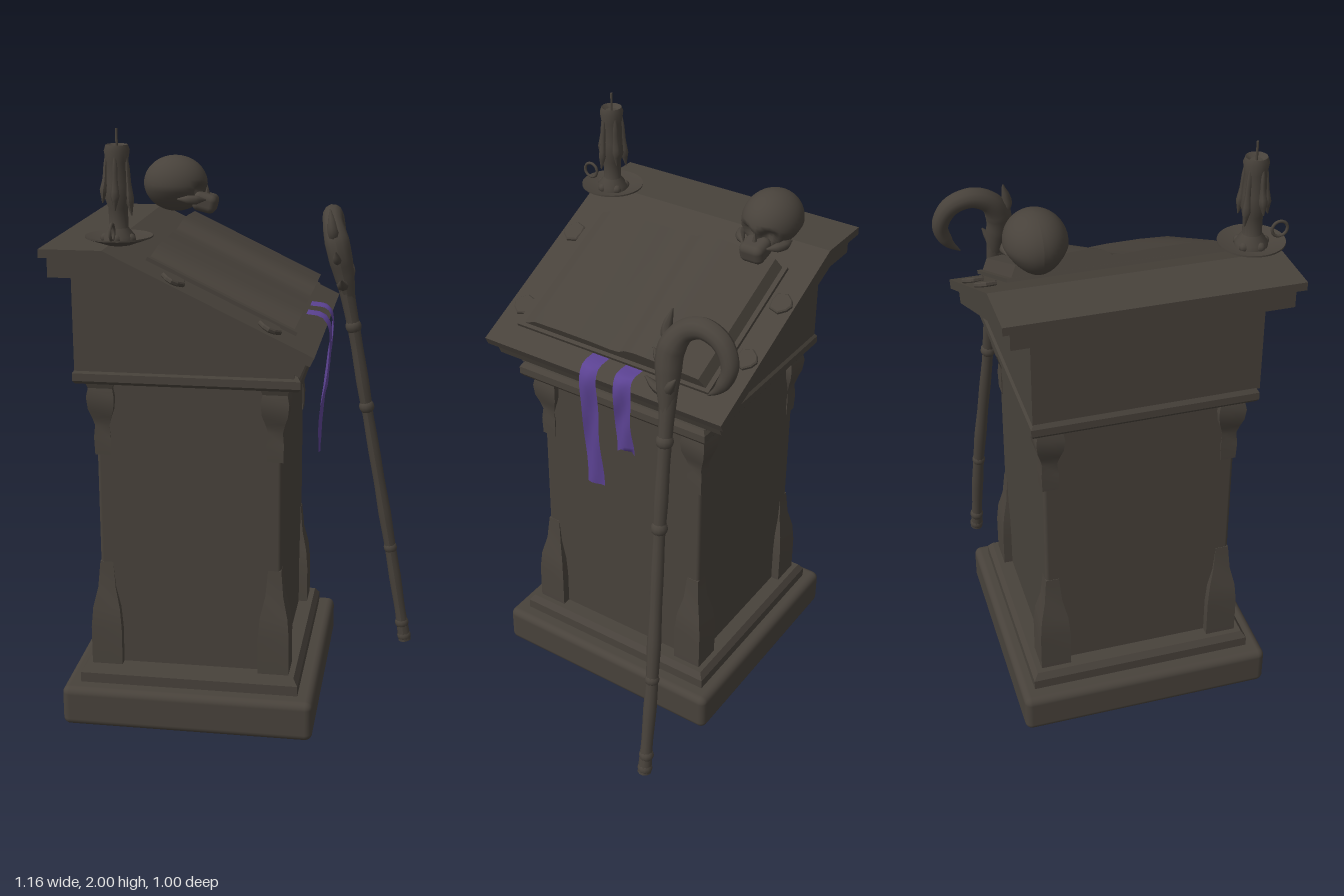
import * as THREE from 'three';
import { toCreasedNormals } from 'three/addons/utils/BufferGeometryUtils.js';
import { RoundedBoxGeometry } from 'three/addons/geometries/RoundedBoxGeometry.js';

const V = (x, y, z) => new THREE.Vector3(x, y, z);

export function createModel() {
  const root = new THREE.Group();
  root.name = 'lectern';
  const stone = new THREE.MeshStandardMaterial({ color: 0x48423b });
  stone.name = 'dark umber';
  const cloth = new THREE.MeshStandardMaterial({ color: 0x5b4292, side: THREE.DoubleSide });
  cloth.name = 'purple cloth';

  function add(name, geo, pos = [0, 0, 0], parent = root, mat = stone) {
    const mesh = new THREE.Mesh(geo, mat);
    mesh.name = name;
    mesh.position.set(...pos);
    parent.add(mesh);
    return mesh;
  }
  // Square moulding: rows of [half width, y], stretched to the given depth ratio
  function moulding(rows, sx = 1, sz = 1) {
    const pts = rows.map(([h, y]) => new THREE.Vector2(h * Math.SQRT2, y));
    const geo = new THREE.LatheGeometry(pts, 4, Math.PI / 4);
    geo.scale(sx, 1, sz);
    return toCreasedNormals(geo, 0.5);
  }
  // Side profile in x and y, extruded from z0 to z1
  function slab(points, z0, z1) {
    const shape = new THREE.Shape(points.map(p => new THREE.Vector2(...p)));
    const geo = new THREE.ExtrudeGeometry(shape, { depth: z1 - z0, bevelEnabled: false });
    return geo.translate(0, 0, z0);
  }
  // Tube whose radius follows a list of values along the path
  function taperTube(points, radii, seg = 40, sides = 10) {
    const curve = new THREE.CatmullRomCurve3(points);
    const geo = new THREE.TubeGeometry(curve, seg, 1, sides);
    const p = geo.attributes.position;
    const v = V(0, 0, 0);
    for (let i = 0; i <= seg; i++) {
      const c = curve.getPointAt(i / seg);
      const f = (i / seg) * (radii.length - 1);
      const k = Math.min(Math.floor(f), radii.length - 2);
      const r = THREE.MathUtils.lerp(radii[k], radii[k + 1], f - k);
      for (let j = 0; j <= sides; j++) {
        const n = i * (sides + 1) + j;
        v.fromBufferAttribute(p, n).sub(c).multiplyScalar(r).add(c);
        p.setXYZ(n, v.x, v.y, v.z);
      }
    }
    geo.computeVertexNormals();
    return geo;
  }

  // Pedestal
  const cx = -0.147;
  add('plinth', new RoundedBoxGeometry(0.85, 0.14, 0.87, 3, 0.025), [cx, 0.07, 0.005]);
  add('plinthStep', moulding([[0, 0.13], [0.37, 0.13], [0.37, 0.175], [0.355, 0.197], [0, 0.197]], 1, 1.04), [cx, 0, 0]);
  add('shaft', new RoundedBoxGeometry(0.61, 1.02, 0.64, 2, 0.012), [cx, 0.69, 0]);
  add('shaftBand', new THREE.BoxGeometry(0.614, 0.25, 0.644), [cx, 1.065, 0]);
  add('cornice', moulding([[0, 1.19], [0.36, 1.19], [0.367, 1.2], [0.367, 1.225], [0.357, 1.24], [0, 1.24]]), [cx, 0, 0]);

  // Carved feet and brackets on the four corners
  const foot = moulding([[0, 0.19], [0.052, 0.19], [0.052, 0.33], [0.046, 0.4], [0.03, 0.47], [0.022, 0.56], [0, 0.57]]);
  const bracket = moulding([[0, 0.94], [0.026, 0.94], [0.028, 1.0], [0.024, 1.04], [0.032, 1.07],
    [0.042, 1.1], [0.046, 1.14], [0.04, 1.17], [0.048, 1.195], [0, 1.195]]);
  for (const sx of [-1, 1]) for (const sz of [-1, 1]) {
    add('cornerFoot', foot, [cx + sx * 0.284, 0, sz * 0.298]);
    add('cornerBracket', bracket, [cx + sx * 0.284, 0, sz * 0.298]);
  }

  // Sloping desk
  add('deskBox', slab([[-0.505, 1.235], [0.2, 1.235], [0.2, 1.3], [-0.4, 1.58], [-0.505, 1.58]], -0.36, 0.37));
  add('deskTrim', slab([[-0.56, 1.55], [-0.44, 1.55], [0.225, 1.26], [0.25, 1.32], [-0.39, 1.622], [-0.56, 1.622]], -0.43, 0.44));
  add('deskTop', slab([[-0.58, 1.615], [-0.39, 1.615], [0.258, 1.302], [0.272, 1.33], [-0.38, 1.642], [-0.58, 1.642]], -0.455, 0.465));

  // Everything lying on the slope: x runs down it, y stands off it
  const slope = new THREE.Group();
  slope.name = 'slopeItems';
  slope.position.set(-0.38, 1.642, 0);
  slope.rotation.z = -Math.atan2(0.312, 0.652);
  root.add(slope);
  add('bookCover', new THREE.BoxGeometry(0.52, 0.012, 0.745), [0.383, 0.018, 0.003], slope);
  const pageLine = [[0.36, 0.02], [0.33, 0.034], [0.3, 0.05], [0.2, 0.054], [0.08, 0.053], [0, 0.048], [-0.035, 0.052],
    [-0.06, 0.07], [-0.1, 0.078], [-0.17, 0.075], [-0.26, 0.067], [-0.335, 0.06], [-0.355, 0.02]];
  const pages = new THREE.ExtrudeGeometry(
    new THREE.Shape(pageLine.map(([z, y]) => new THREE.Vector2(-z, y))), { depth: 0.5, bevelEnabled: false });
  pages.rotateY(Math.PI / 2);
  add('bookPages', toCreasedNormals(pages, 0.6), [0.13, 0, 0], slope);

  // Shield studs beside the book
  const stud = new THREE.Shape([[-0.035, 0.005], [-0.018, 0.026], [0, 0.034], [0.018, 0.026], [0.035, 0.005],
    [0.026, -0.026], [0, -0.03], [-0.026, -0.026]].map(p => new THREE.Vector2(...p)));
  const studGeo = new THREE.ExtrudeGeometry(stud, { depth: 0.008, bevelSize: 0.004, bevelThickness: 0.004, bevelSegments: 1 });
  studGeo.rotateX(-Math.PI / 2);
  for (const [s, z] of [[0.25, -0.412], [0.48, -0.412], [0.23, 0.415], [0.56, 0.405]]) {
    add('shieldStud', studGeo, [s, 0.004, z], slope).rotation.y = z < 0 ? 0 : Math.PI;
  }

  // Ribbon bookmarks: a strip folded over the lower edge, optionally forked
  function ribbon(z, width, path, fork) {
    const curve = new THREE.CatmullRomCurve3(path.map(([x, y]) => V(x, y, 0)));
    const geo = new THREE.PlaneGeometry(1, 1, 4, 24);
    const p = geo.attributes.position;
    for (let i = 0; i < p.count; i++) {
      const u = p.getX(i), t = 0.5 - p.getY(i);
      const c = curve.getPointAt(t);
      const notch = t === 1 ? fork * (1 - 2 * Math.abs(u)) : 0;
      p.setXYZ(i, c.x + 0.005 * Math.sin(u * 5 + t * 9), c.y + notch, z - u * width + 0.003 * Math.sin(t * 11));
    }
    geo.computeVertexNormals();
    add('ribbon', geo, [0, 0, 0], root, cloth);
  }
  ribbon(0.037, 0.064, [[0.2, 1.375], [0.262, 1.365], [0.283, 1.33], [0.275, 1.2], [0.258, 1.03], [0.252, 0.895]], 0);
  ribbon(-0.092, 0.064, [[0.2, 1.375], [0.265, 1.365], [0.28, 1.33], [0.27, 1.2], [0.262, 1.075]], 0.045);

  // Skull facing down the slope
  const skull = new THREE.Group();
  skull.name = 'skull';
  skull.position.set(-0.295, 1.745, -0.286);
  root.add(skull);
  const head = new THREE.SphereGeometry(1, 40, 28);
  const hp = head.attributes.position;
  const sockets = [V(0.88, -0.25, 0.4), V(0.88, -0.25, -0.4)].map(v => v.normalize());
  const v = V(0, 0, 0);
  for (let i = 0; i < hp.count; i++) {
    v.fromBufferAttribute(hp, i);
    const near = Math.min(...sockets.map(s => s.distanceTo(v)));
    const k = 1 - 0.3 * Math.max(0, 1 - (near / 0.36) ** 2);
    const pinch = v.y < -0.1 ? 1 + 0.3 * (v.y + 0.1) : 1;
    hp.setXYZ(i, v.x * 0.112 * k, v.y * 0.097 * k, v.z * 0.097 * k * pinch);
  }
  head.computeVertexNormals();
  add('cranium', head, [0, 0, 0], skull);
  const jaw = add('upperJaw', new RoundedBoxGeometry(0.085, 0.066, 0.085, 3, 0.022), [0.105, -0.064, 0], skull);
  jaw.rotation.z = -0.25;
  add('noseBridge', new THREE.ConeGeometry(0.014, 0.05, 6), [0.112, -0.025, 0], skull);
  for (const s of [-1, 1]) {
    const cheek = [V(0.02, -0.045, s * 0.083), V(0.07, -0.047, s * 0.077), V(0.113, -0.05, s * 0.043)];
    add('cheekbone', taperTube(cheek, [0.003, 0.015, 0.015, 0.003], 12, 8), [0, 0, 0], skull);
  }

  // Candle on a dish with a ring handle
  const candle = new THREE.Group();
  candle.name = 'candle';
  candle.position.set(-0.345, 0, 0.376);
  root.add(candle);
  const lathe = (rows, n) => toCreasedNormals(new THREE.LatheGeometry(rows.map(r => new THREE.Vector2(...r)), n), 0.7);
  add('dish', lathe([[0, 1.643], [0.04, 1.648], [0.105, 1.671], [0.105, 1.676], [0.05, 1.66], [0, 1.66]], 32), [0, 0, 0], candle);
  add('candleWax', lathe([[0, 1.655], [0.052, 1.657], [0.05, 1.675], [0.03, 1.7], [0.03, 1.76], [0.04, 1.79], [0.036, 1.83],
    [0.034, 1.9], [0.04, 1.935], [0.034, 1.952], [0.02, 1.94], [0, 1.94]], 16), [0, 0, 0], candle);
  add('wick', new THREE.CylinderGeometry(0.004, 0.004, 0.07, 6), [0, 1.965, 0], candle);
  for (let i = 0; i < 5; i++) {
    const a = i * 1.257 + 0.3, c = Math.cos(a), s = Math.sin(a), low = 1.74 + (i % 3) * 0.018;
    const drip = [V(c * 0.032, 1.93, s * 0.032), V(c * 0.037, 1.85, s * 0.037), V(c * 0.043, low + 0.03, s * 0.043), V(c * 0.047, low, s * 0.047)];
    add('waxDrip', taperTube(drip, [0.003, 0.008, 0.009, 0.014, 0.002], 12, 6), [0, 0, 0], candle);
    add('waxPool', new THREE.SphereGeometry(0.016, 8, 6), [c * 0.042, 1.668, s * 0.042], candle);
  }
  add('ringHandle', new THREE.TorusGeometry(0.025, 0.005, 8, 20), [0, 1.7, 0.091], candle).rotation.y = Math.PI / 2;

  // Leaning staff with knots and a horn-shaped hook
  const staff = new THREE.Group();
  staff.name = 'staff';
  root.add(staff);
  add('staffPole', taperTube([V(0.555, 0.008, -0.366), V(0.49, 0.39, -0.353), V(0.39, 0.95, -0.312),
    V(0.337, 1.25, -0.295), V(0.3, 1.43, -0.285)],
    [0.024, 0.02, 0.023, 0.021, 0.024, 0.021, 0.022, 0.02, 0.024, 0.022, 0.024, 0.03], 60, 10), [0, 0, 0], staff);
  for (const [x, y, z, r] of [[0.552, 0.026, -0.366, 0.026], [0.542, 0.08, -0.365, 0.026], [0.49, 0.39, -0.353, 0.025],
    [0.39, 0.95, -0.312, 0.028], [0.337, 1.25, -0.295, 0.029]]) {
    add('staffKnot', new THREE.SphereGeometry(r, 12, 8), [x, y, z], staff);
  }
  add('staffHook', taperTube([V(0.32, 1.35, -0.289), V(0.3, 1.44, -0.28), V(0.275, 1.55, -0.276), V(0.256, 1.61, -0.31),
    V(0.25, 1.635, -0.37), V(0.254, 1.61, -0.44), V(0.265, 1.54, -0.475), V(0.275, 1.47, -0.45), V(0.28, 1.43, -0.41)],
    [0.022, 0.034, 0.042, 0.044, 0.036, 0.034, 0.032, 0.028, 0.022, 0.002], 60, 12), [0, 0, 0], staff);
  for (const pts of [
    [V(0.3, 1.4, -0.285), V(0.3, 1.41, -0.235), V(0.298, 1.435, -0.195)],
    [V(0.285, 1.5, -0.28), V(0.28, 1.495, -0.24), V(0.275, 1.53, -0.21)],
    [V(0.27, 1.56, -0.275), V(0.262, 1.59, -0.25), V(0.25, 1.67, -0.262)],
    [V(0.3, 1.41, -0.285), V(0.322, 1.44, -0.3), V(0.325, 1.48, -0.325)]]) {
    add('staffThorn', taperTube(pts, [0.026, 0.019, 0.013, 0.002], 14, 8), [0, 0, 0], staff);
  }
  return root;
}
